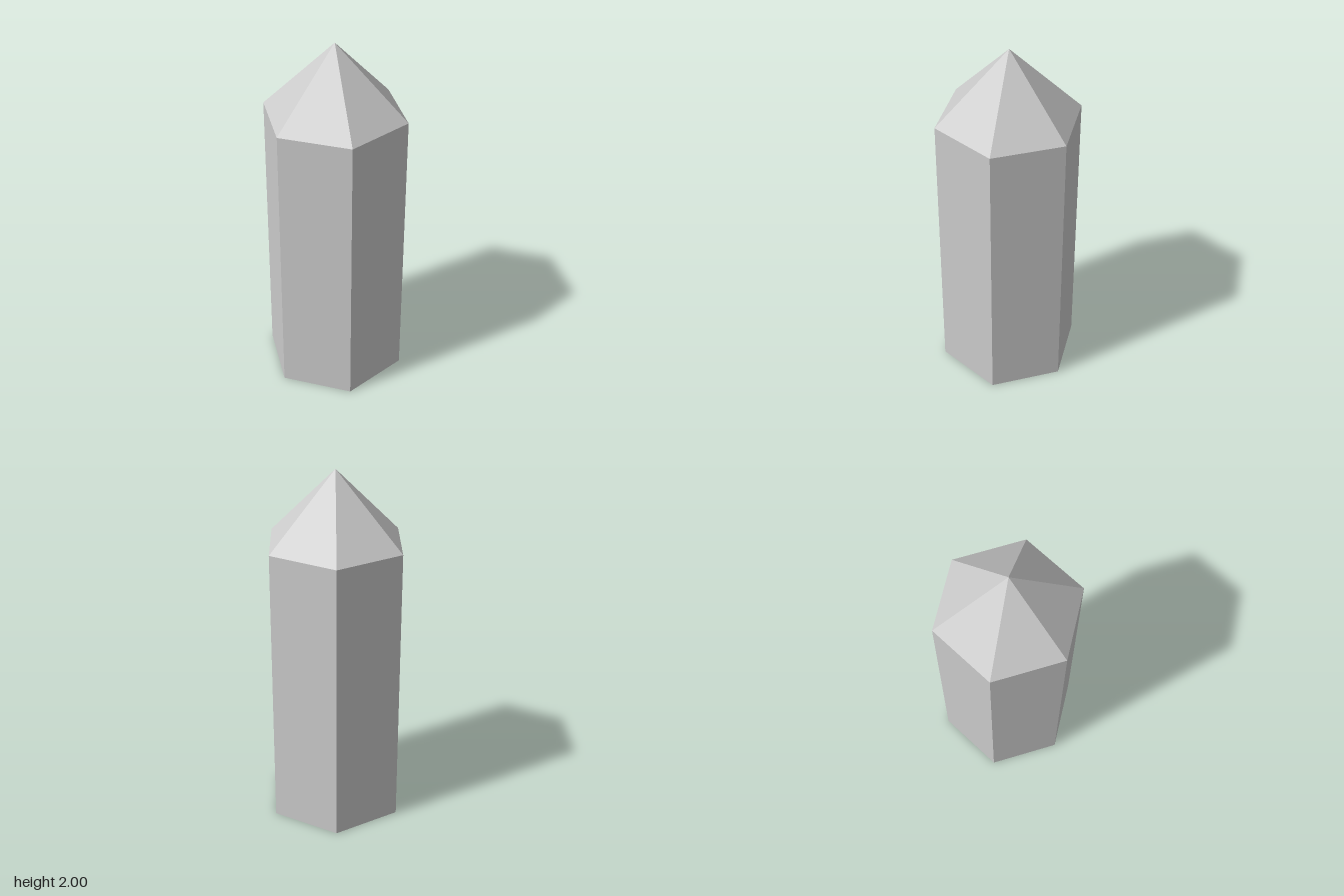
import * as THREE from 'three';

const SIDES = 6;
const RADIUS = 0.4;
const SHAFT_HEIGHT = 1.6;
const TIP_HEIGHT = 0.4;

export function createModel() {
  const crystal = new THREE.Group();
  crystal.name = 'crystal';
  const material = new THREE.MeshStandardMaterial({ color: 0xcccccc, flatShading: true });

  // Hexagonal shaft with a flat base, open where the tip joins
  const profile = [[0, 0], [RADIUS, 0], [RADIUS, SHAFT_HEIGHT]].map(([r, y]) => new THREE.Vector2(r, y));
  const shaft = new THREE.Mesh(new THREE.LatheGeometry(profile, SIDES), material);
  shaft.name = 'shaft';
  crystal.add(shaft);

  // Six-sided pointed tip
  const tip = new THREE.Mesh(new THREE.ConeGeometry(RADIUS, TIP_HEIGHT, SIDES, 1, true), material);
  tip.name = 'tip';
  tip.position.y = SHAFT_HEIGHT + TIP_HEIGHT / 2;
  crystal.add(tip);

  return crystal;
}
